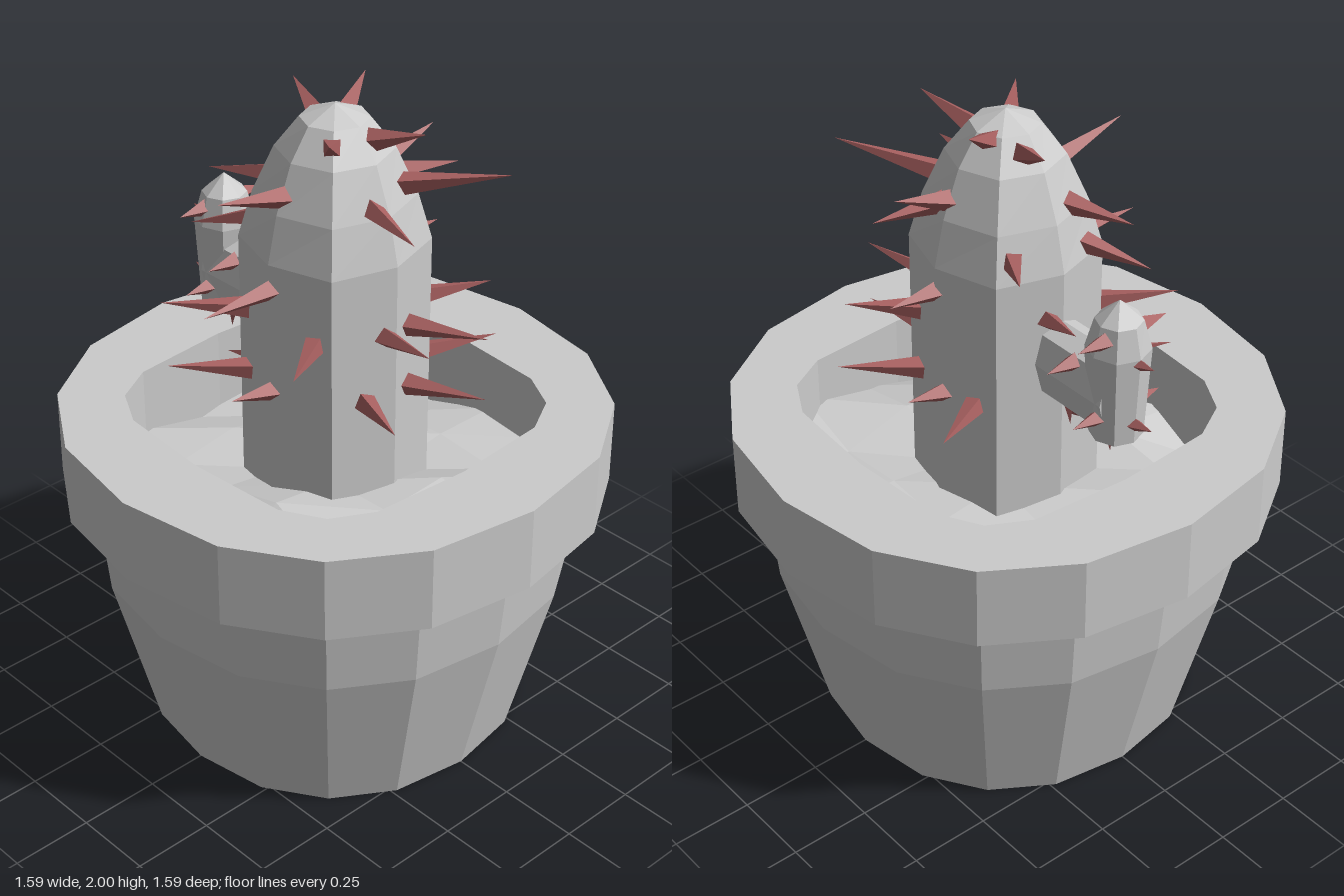
import * as THREE from 'three';

const grey = new THREE.MeshStandardMaterial({ color: 0xcccccc, flatShading: true, side: THREE.DoubleSide });
const red = new THREE.MeshStandardMaterial({ color: 0xa86060, flatShading: true });

// Faceted loft: each ring is [radius, y, squareness], all rings have the same number of sides
function loft(rings, sides) {
  const pos = [], idx = [];
  const curve = (v, n) => (Math.abs(v) < 1e-6 ? 0 : Math.sign(v) * Math.abs(v) ** (2 / n));
  for (const [r, y, n] of rings) {
    for (let j = 0; j < sides; j++) {
      const t = (j / sides) * Math.PI * 2;
      pos.push(r * curve(Math.cos(t), n), y, r * curve(Math.sin(t), n));
    }
  }
  for (let i = 0; i < rings.length - 1; i++) {
    for (let j = 0; j < sides; j++) {
      const a = i * sides + j, b = i * sides + (j + 1) % sides;
      idx.push(a, a + sides, b, b, a + sides, b + sides);
    }
  }
  const g = new THREE.BufferGeometry();
  g.setAttribute('position', new THREE.Float32BufferAttribute(pos, 3));
  g.setIndex(idx);
  g.computeVertexNormals();
  return g;
}

function part(parent, name, geometry, material = grey) {
  const mesh = new THREE.Mesh(geometry, material);
  mesh.name = name;
  parent.add(mesh);
  return mesh;
}

// Four-sided spike from a base point to a tip
function spike(parent, base, tip, radius) {
  const dir = tip.clone().sub(base), length = dir.length();
  const mesh = part(parent, 'spike', new THREE.ConeGeometry(radius, length, 4), red);
  mesh.position.copy(base).add(tip).multiplyScalar(0.5);
  mesh.quaternion.setFromUnitVectors(new THREE.Vector3(0, 1, 0), dir.normalize());
}

// Tier of stem spikes at one height: each is [angle from +x towards +z, reach from the axis]
function spikeTier(parent, y, rise, baseRadius, spikes) {
  for (const [degrees, reach] of spikes) {
    const t = THREE.MathUtils.degToRad(degrees);
    const at = (r, h) => new THREE.Vector3(r * Math.cos(t), h, r * Math.sin(t));
    spike(parent, at(baseRadius, y), at(reach, y + rise), 0.035);
  }
}

export function createModel() {
  const model = new THREE.Group();
  model.name = 'pottedCactus';

  // Pot: tapered body, overhanging rim, squarer opening
  part(model, 'pot', loft([
    [0, 0, 2.2], [0.56, 0, 2.2], [0.69, 0.52, 2.2], [0.715, 0.78, 2.2], [0.797, 0.78, 2.2],
    [0.797, 1.04, 2.2], [0.53, 1.04, 3.7], [0.53, 0.7, 3.7],
  ], 16));

  // Soil: bumpy grid, edges hidden inside the pot wall
  const soil = new THREE.PlaneGeometry(1.12, 1.12, 5, 5).rotateX(-Math.PI / 2);
  const p = soil.attributes.position;
  for (let i = 0; i < p.count; i++) {
    const x = p.getX(i), z = p.getZ(i);
    const k = Math.abs(x) > 0.5 && Math.abs(z) > 0.5 ? 0.85 : 1;
    const bump = 0.04 * Math.sin(i * 2.4) + 0.03 * Math.cos(i * 5.1);
    p.setXYZ(i, x * k, 0.82 + bump - (z > 0.4 ? 0.08 : 0), z * k);
  }
  soil.computeVertexNormals();
  part(model, 'soil', soil);

  // Cactus stem with domed top
  part(model, 'stem', loft([
    [0.253, 0.7, 2.6], [0.253, 1.58, 2.6], [0.22, 1.72, 2.4], [0.165, 1.86, 2.2],
    [0.1, 1.95, 2], [0, 1.99, 2],
  ], 8));

  // Side arm: oval branch and upright tip
  const arm = new THREE.Group();
  arm.name = 'arm';
  model.add(arm);
  const branch = part(arm, 'armBranch', loft([[0.125, 0.15, 2.4], [0.125, 0.5, 2.4], [0, 0.5, 2.4]], 8));
  branch.scale.z = 0.65;
  branch.rotation.z = Math.PI / 2;
  branch.position.y = 1.305;
  const upright = part(arm, 'armTip', loft([
    [0, 1.18, 2], [0.075, 1.18, 2.2], [0.09, 1.46, 2.2], [0.068, 1.55, 2], [0, 1.61, 2],
  ], 8));
  upright.position.x = -0.48;

  // Stem spikes, from the lowest tier to the crown
  const stemSpikes = new THREE.Group();
  stemSpikes.name = 'stemSpikes';
  model.add(stemSpikes);
  spikeTier(stemSpikes, 1.11, -0.02, 0.22, [[165, 0.38]]);
  spikeTier(stemSpikes, 1.17, 0.03, 0.23,
    [[90, 0.4], [124, 0.49], [-15, 0.5], [23, 0.48], [-60, 0.49], [-120, 0.49], [-94, 0.38]]);
  spikeTier(stemSpikes, 1.365, 0.03, 0.23, [[56, 0.5], [127, 0.5], [-15, 0.5], [8, 0.45], [-57, 0.46]]);
  spikeTier(stemSpikes, 1.44, 0.04, 0.22, [[191, 0.4]]);
  spikeTier(stemSpikes, 1.5, 0, 0.23, [[90, 0.49], [-88, 0.4]]);
  spikeTier(stemSpikes, 1.62, -0.055, 0.21, [[149, 0.43]]);
  spikeTier(stemSpikes, 1.64, 0.07, 0.21, [[215, 0.47]]);
  spikeTier(stemSpikes, 1.745, -0.02, 0.18, [[11, 0.4], [-75, 0.4], [156, 0.39]]);
  spikeTier(stemSpikes, 1.765, 0.06, 0.18, [[90, 0.43], [-34, 0.5], [-87, 0.37]]);
  spikeTier(stemSpikes, 1.905, 0.06, 0.11, [[-15, 0.29], [47, 0.23], [197, 0.27]]);
  spikeTier(stemSpikes, 1.93, 0.07, 0.08, [[-114, 0.22]]);

  // Arm spikes: front and back pairs, then outer and lower ones
  const v = (x, y, z) => new THREE.Vector3(x, y, z);
  for (const s of [1, -1]) {
    for (const [x, y] of [[-0.495, 1.51], [-0.37, 1.38], [-0.48, 1.255]]) {
      spike(arm, v(x, y, s * 0.06), v(x, y, s * 0.16), 0.03);
    }
  }
  for (const y of [1.44, 1.24]) spike(arm, v(-0.54, y, 0), v(-0.625, y + 0.015, 0), 0.026);
  for (const x of [-0.45, -0.28]) spike(arm, v(x, 1.2, 0), v(x - 0.01, 1.1, 0), 0.026);

  return model;
}
